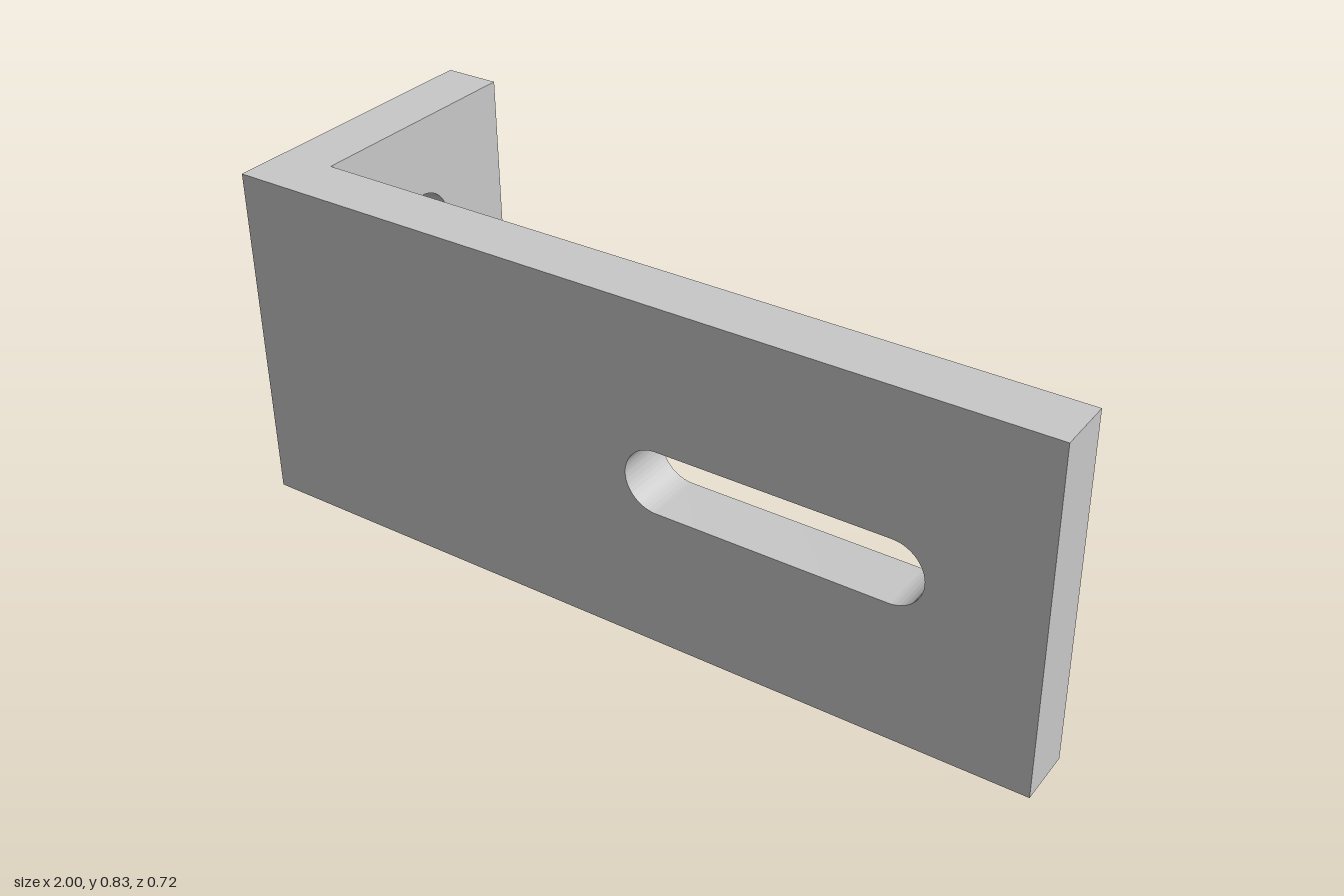
import * as THREE from 'three';
import { toCreasedNormals } from 'three/addons/utils/BufferGeometryUtils.js';

const HEIGHT = 0.833;
const THICK = 0.138;
const FRONT_Z = 0.361;
const INNER_Z = FRONT_Z - THICK;

// Upright rectangle from x0 to x1, pierced by the given holes
function plate(x0, x1, holes) {
  const shape = new THREE.Shape([
    new THREE.Vector2(x0, 0), new THREE.Vector2(x1, 0),
    new THREE.Vector2(x1, HEIGHT), new THREE.Vector2(x0, HEIGHT),
  ]);
  shape.holes.push(...holes);
  const geometry = new THREE.ExtrudeGeometry(shape, { depth: THICK, bevelEnabled: false, curveSegments: 32 });
  return toCreasedNormals(geometry, 0.5);
}

function roundHole(x, y, r) {
  return new THREE.Path().absarc(x, y, r, 0, Math.PI * 2, true);
}

// Slot with half-round ends centred at x0 and x1
function slotHole(x0, x1, y, r) {
  const path = new THREE.Path();
  path.absarc(x1, y, r, -Math.PI / 2, Math.PI / 2, false);
  path.absarc(x0, y, r, Math.PI / 2, Math.PI * 1.5, false);
  path.closePath();
  return path;
}

export function createModel() {
  const group = new THREE.Group();
  group.name = 'angleBracket';
  const steel = new THREE.MeshStandardMaterial({ color: 0xc8c8c8 });
  steel.name = 'light grey steel';

  // Long plate with the adjustment slot
  const longPlate = new THREE.Mesh(plate(-1, 1, [slotHole(0.111, 0.663, HEIGHT / 2, 0.077)]), steel);
  longPlate.name = 'slottedPlate';
  longPlate.position.z = INNER_Z;
  group.add(longPlate);

  // Short flange with two bolt holes, turned to run along z
  const boltHoles = [0.278, 0.556].map((y) => roundHole(-0.069, y, 0.087));
  const flange = new THREE.Mesh(plate(-FRONT_Z, INNER_Z, boltHoles).rotateY(-Math.PI / 2), steel);
  flange.name = 'boltFlange';
  flange.position.x = -1 + THICK;
  group.add(flange);

  return group;
}
